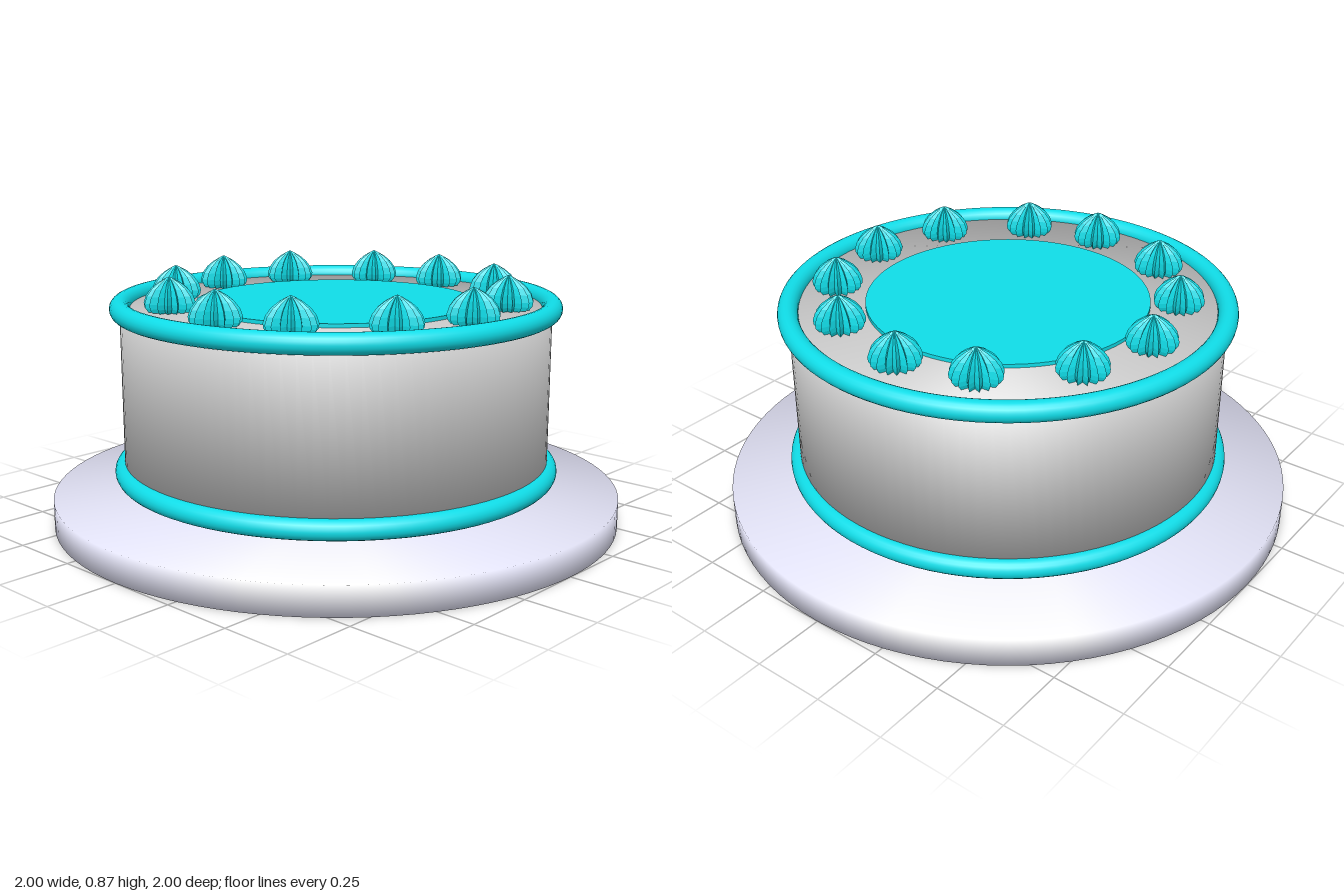
import * as THREE from 'three';

const icing = new THREE.MeshStandardMaterial({ color: 0x10dde8 });
const dollopIcing = new THREE.MeshStandardMaterial({ color: 0x10dde8, flatShading: true });
const sponge = new THREE.MeshStandardMaterial({ color: 0xcccccc });
const china = new THREE.MeshStandardMaterial({ color: 0xe6e6fa });

function addMesh(parent, name, geometry, material, x = 0, y = 0, z = 0) {
  const mesh = new THREE.Mesh(geometry, material);
  mesh.name = name;
  mesh.position.set(x, y, z);
  parent.add(mesh);
  return mesh;
}

// Closed drum whose normals blend softly from the caps over the rim to the wall
function softDrum(radius, height) {
  const profile = [[0, 0], [radius, 0], [radius, height], [0, height]].map(p => new THREE.Vector2(...p));
  const geo = new THREE.LatheGeometry(profile, 96);
  const pos = geo.attributes.position;
  const n = new THREE.Vector3();
  for (let i = 0; i < pos.count; i++) {
    const up = pos.getY(i) > height / 2 ? 1 : -1;
    n.set(pos.getX(i) / radius, up, pos.getZ(i) / radius).normalize();
    geo.attributes.normal.setXYZ(i, n.x, n.y, n.z);
  }
  return geo;
}

// Piped dollop: a domed lathe with every other meridian pulled in to make flutes
function dollopGeometry(flutes = 16) {
  const profile = [
    [0, 0], [0.074, 0], [0.085, 0.014], [0.087, 0.03], [0.079, 0.054],
    [0.062, 0.077], [0.039, 0.096], [0.017, 0.109], [0, 0.117],
  ].map(p => new THREE.Vector2(...p));
  const geo = new THREE.LatheGeometry(profile, flutes * 2);
  const pos = geo.attributes.position;
  for (let i = 0; i < pos.count; i++) {
    const meridian = Math.floor(i / profile.length);
    const pull = meridian % 2 ? 0.7 : 1;
    pos.setX(i, pos.getX(i) * pull);
    pos.setZ(i, pos.getZ(i) * pull);
  }
  geo.computeVertexNormals();
  return geo;
}

export function createModel() {
  const model = new THREE.Group();
  model.name = 'cake';

  // Plate and cake body
  addMesh(model, 'plate', softDrum(1, 0.1), china);
  addMesh(model, 'cakeBody', softDrum(0.75, 0.575), sponge, 0, 0.18, 0);

  // Piped rings around the bottom and top edges
  const ring = new THREE.TorusGeometry(0.75, 0.035, 20, 96).rotateX(Math.PI / 2);
  addMesh(model, 'bottomIcingRing', ring, icing, 0, 0.18, 0);
  addMesh(model, 'topIcingRing', ring, icing, 0, 0.755, 0);

  // Flat disc of icing on top
  addMesh(model, 'icingDisc', new THREE.CylinderGeometry(0.488, 0.488, 0.015, 96), icing, 0, 0.7605, 0);

  // Hand-placed circle of dollops (x, z)
  const spots = [
    [0, -0.58], [0.28, -0.505], [0.51, -0.27], [0.583, -0.005], [0.505, 0.31], [0.292, 0.525],
    [-0.005, 0.603], [-0.294, 0.528], [-0.522, 0.297], [-0.594, 0.032], [-0.513, -0.287], [-0.305, -0.497],
  ];
  const dollops = new THREE.Group();
  dollops.name = 'dollops';
  const dollop = dollopGeometry();
  spots.forEach(([x, z]) => addMesh(dollops, 'dollop', dollop, dollopIcing, x, 0.757, z));
  model.add(dollops);

  return model;
}
